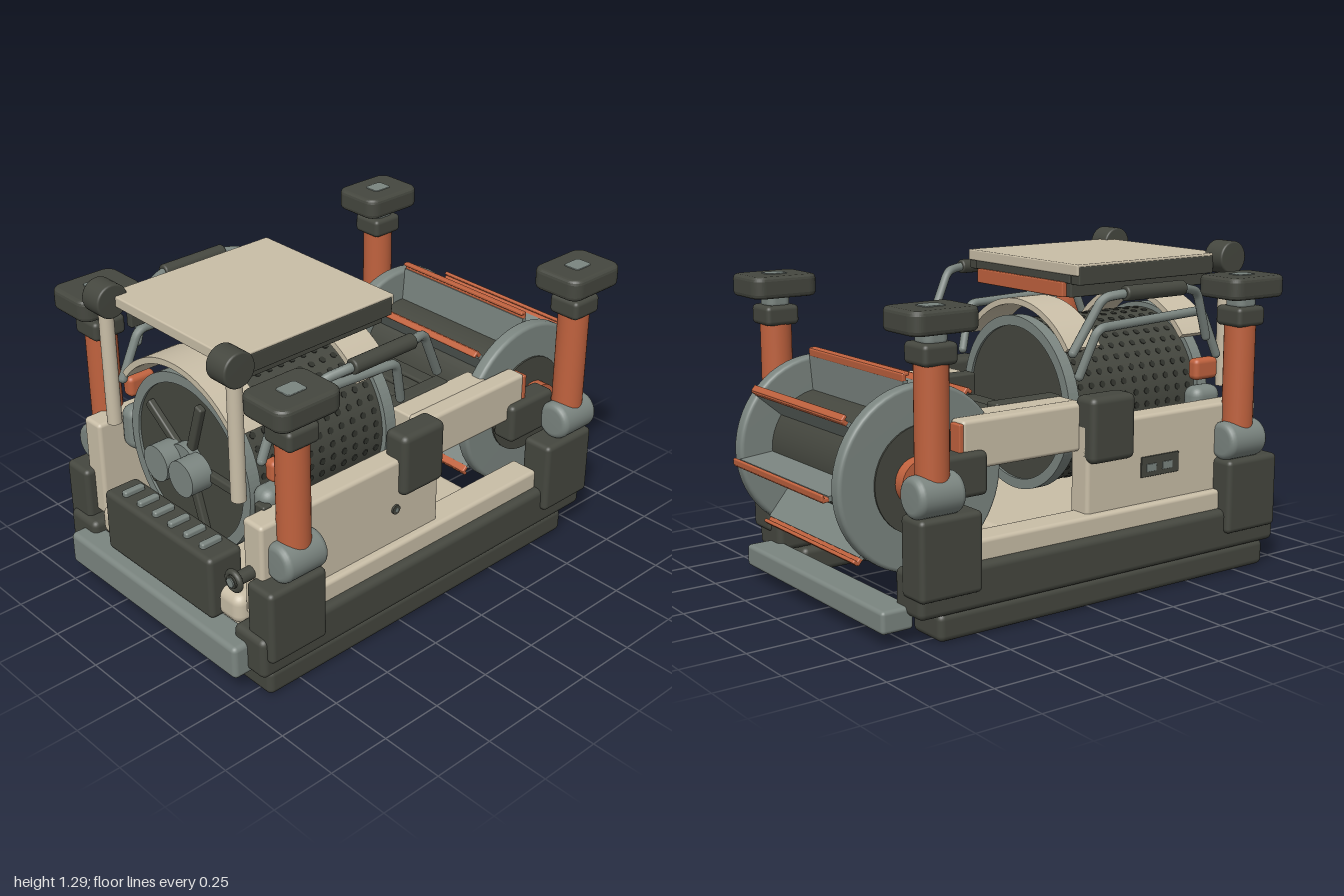
import * as THREE from 'three';
import { mergeGeometries } from 'three/addons/utils/BufferGeometryUtils.js';
import { RoundedBoxGeometry } from 'three/addons/geometries/RoundedBoxGeometry.js';

const mat = (name, color) => Object.assign(new THREE.MeshStandardMaterial({ color }), { name });

export function createModel() {
  const root = new THREE.Group();
  const black = mat('charcoal', 0x45473f), grey = mat('steel grey', 0x7b8580);
  const cream = mat('cream', 0xc9bea7), orange = mat('burnt orange', 0xc0623e);
  const dark = mat('hole black', 0x30322c);

  const add = (name, geo, m, x = 0, y = 0, z = 0) => {
    const mesh = new THREE.Mesh(geo, m);
    mesh.name = name;
    mesh.position.set(x, y, z);
    root.add(mesh);
    return mesh;
  };
  // Rounded box given by its limits on each axis
  const box = (name, m, [x0, x1], [y0, y1], [z0, z1], r = 0.015) => {
    const w = Math.abs(x1 - x0), h = y1 - y0, d = z1 - z0;
    const geo = r ? new RoundedBoxGeometry(w, h, d, 3, Math.min(r, w / 2.1, h / 2.1, d / 2.1))
      : new THREE.BoxGeometry(w, h, d);
    return add(name, geo, m, (x0 + x1) / 2, (y0 + y1) / 2, (z0 + z1) / 2);
  };
  // Cylinder along a chosen axis, with an optional rounded rim
  const cyl = (name, m, axis, r, len, x, y, z, seg = 32, rim = 0) => {
    let g = new THREE.CylinderGeometry(r, r, len, seg);
    if (rim) {
      const h = len / 2, pts = [new THREE.Vector2(0, -h)];
      for (const side of [-1, 1]) for (let i = 0; i <= 4; i++) {
        const a = side * Math.PI / 8 * (side < 0 ? 4 - i : i);
        pts.push(new THREE.Vector2(r - rim + rim * Math.cos(a), side * (h - rim) + rim * Math.sin(a)));
      }
      pts.push(new THREE.Vector2(0, h));
      g = new THREE.LatheGeometry(pts, seg);
    }
    if (axis === 'x') g.rotateZ(Math.PI / 2);
    if (axis === 'z') g.rotateX(Math.PI / 2);
    return add(name, g, m, x, y, z);
  };
  // Upright slab with rounded corners in plan and a small bevel
  const slabGeo = (w, h, d, r, b) => {
    const x = w / 2 - b, y = d / 2 - b, s = new THREE.Shape();
    s.absarc(x - r, y - r, r, 0, Math.PI / 2);
    s.absarc(r - x, y - r, r, Math.PI / 2, Math.PI);
    s.absarc(r - x, r - y, r, Math.PI, Math.PI * 1.5);
    s.absarc(x - r, r - y, r, Math.PI * 1.5, Math.PI * 2);
    return new THREE.ExtrudeGeometry(s, { depth: h - 2 * b, bevelSize: b, bevelThickness: b,
      bevelSegments: 3, curveSegments: 6 }).translate(0, 0, b - h / 2).rotateX(-Math.PI / 2);
  };
  // Flat ring, or part of one, extruded along z and centred on its depth
  const ringGeo = (ro, ri, depth, a0 = 0, a1 = Math.PI * 2) => {
    const s = new THREE.Shape();
    s.absarc(0, 0, ro, a0, a1, false);
    if (a1 - a0 > 6) s.holes.push(new THREE.Path().absarc(0, 0, ri, 0, Math.PI * 2, true));
    else s.absarc(0, 0, ri, a1, a0, true);
    return new THREE.ExtrudeGeometry(s, { depth, bevelEnabled: false, curveSegments: 48 })
      .translate(0, 0, -depth / 2);
  };
  // Tube through straight runs with short rounded bends
  const tube = (name, m, pts, r) => {
    const path = new THREE.CurvePath();
    const v = pts.map(p => new THREE.Vector3(...p));
    const toward = (p, q) => p.clone().add(q.clone().sub(p).setLength(Math.min(0.035, p.distanceTo(q) * 0.4)));
    let from = v[0];
    for (let i = 1; i < v.length - 1; i++) {
      const a = toward(v[i], v[i - 1]), b = toward(v[i], v[i + 1]);
      path.add(new THREE.LineCurve3(from, a));
      path.add(new THREE.QuadraticBezierCurve3(a, v[i], b));
      from = b;
    }
    path.add(new THREE.LineCurve3(from, v[v.length - 1]));
    add(name, new THREE.TubeGeometry(path, 80, r, 10), m);
    for (const p of [v[0], v[v.length - 1]]) add(name + 'End', new THREE.SphereGeometry(r, 10, 8), m, p.x, p.y, p.z);
  };

  // Chassis deck and bumpers
  box('deck', cream, [-0.43, 0.43], [0.12, 0.3], [-0.27, 0.87], 0.03);
  box('frontBumper', grey, [-0.5, 0.5], [0.085, 0.22], [0.88, 1.0], 0.02);
  box('rearBumper', grey, [-0.5, 0.5], [0.05, 0.135], [-0.86, -0.73], 0.015);

  for (const s of [-1, 1]) {
    const X = (a, b) => [s * a, s * b];
    // Skids and side bodywork
    box('lowerSkid', black, X(0.39, 0.57), [0, 0.105], [-0.67, 0.9], 0.025);
    box('upperSkid', black, X(0.42, 0.585), [0.1, 0.265], [-0.76, 0.94], 0.025);
    box('skidTop', cream, X(0.43, 0.55), [0.25, 0.34], [-0.515, 0.7]);
    box('sidePanel', cream, X(0.42, 0.52), [0.28, 0.68], [0.02, 0.88]);
    box('frontFoot', cream, X(0.28, 0.42), [0.22, 0.345], [0.75, 0.91], 0.04);
    box('sideArm', cream, X(0.39, 0.47), [0.57, 0.75], [-0.5, 0.06]);
    box('armShoulder', cream, X(0.3, 0.4), [0.57, 0.748], [-0.36, 0.06], 0.008);
    box('armCap', orange, X(0.41, 0.47), [0.6, 0.74], [-0.515, -0.495], 0.005);
    box('sidePod', black, X(0.44, 0.55), [0.53, 0.78], [0.02, 0.23], 0.025);
    box('drumBearing', grey, X(0.34, 0.435), [0.55, 0.73], [0.64, 0.78], 0.04);
    box('latch', orange, X(0.385, 0.44), [0.76, 0.845], [0.63, 0.75], 0.02);

    // Corner jacks
    for (const z of [0.755, -0.68]) {
      const zb = z > 0 ? 0.79 : -0.64;
      box('jackBase', black, X(0.477, 0.61), [0.17, 0.465], [zb - 0.13, zb + 0.13], 0.02);
      cyl('jackPivot', grey, 'z', 0.076, 0.19, s * 0.55, 0.535, z, 32, 0.025);
      cyl('jackColumn', orange, 'y', 0.061, 0.46, s * 0.5445, 0.77, z);
      box('jackCollar', black, X(0.477, 0.612), [0.985, 1.062], [z - 0.07, z + 0.07], 0.018);
      box('jackNeck', grey, X(0.497, 0.593), [1.04, 1.12], [z - 0.048, z + 0.048], 0.03);
      add('jackPad', slabGeo(0.221, 0.085, 0.276, 0.03, 0.017), black, s * 0.5455, 1.139, z);
      add('padSpot', slabGeo(0.07, 0.008, 0.085, 0.012, 0.002), grey, s * 0.5455, 1.181, z);
    }

    // Roof post, roller and rails
    cyl('roofPost', cream, 'y', 0.028, 0.47, s * 0.363, 0.945, 0.845);
    cyl('roofRoller', black, 'x', 0.066, 0.1, s * 0.353, 1.225, 0.85, 32, 0.008);
    box('roofRail', black, X(0.272, 0.302), [1.115, 1.2], [0.11, 0.8], 0.005);
    box('roofEdge', black, X(0.3, 0.352), [1.165, 1.235], [0.11, 0.79], 0.005);

    // Grab rails
    tube('outerGrabRail', grey, [[s * 0.465, 0.94, 0.65], [s * 0.49, 1.125, 0.575], [s * 0.525, 1.15, 0.47],
      [s * 0.525, 1.15, 0.18], [s * 0.5, 1.14, 0.1], [s * 0.465, 0.94, -0.01]], 0.018);
    cyl('grabGrip', black, 'z', 0.029, 0.29, s * 0.525, 1.15, 0.325, 16, 0.008);
    tube('innerGrabRail', grey, [[s * 0.38, 0.83, 0.09], [s * 0.415, 1.01, 0.15],
      [s * 0.395, 1.03, 0.69], [s * 0.4, 0.85, 0.77]], 0.018);

    // Rear reel flange, hub and drive
    cyl('reelFlange', grey, 'x', 0.34, 0.058, s * 0.358, 0.545, -0.615, 56, 0.015);
    cyl('reelDisc', black, 'x', 0.2, 0.012, s * 0.388, 0.545, -0.615, 40);
    cyl('reelHub', orange, 'x', 0.088, 0.06, s * 0.41, 0.545, -0.645);
    box('reelDrive', black, X(0.4, 0.5), [0.48, 0.64], [-0.65, -0.41], 0.02);
  }

  // Roof
  box('roof', cream, [-0.35, 0.35], [1.2, 1.243], [0.1, 0.84], 0.006);
  box('roofFrontBeam', grey, [-0.29, 0.29], [1.168, 1.2], [0.74, 0.78], 0.005);
  box('roofBackBeam', orange, [-0.275, 0.275], [1.115, 1.172], [0.09, 0.13], 0.005);
  box('roofBackRail', black, [-0.3, 0.3], [1.168, 1.205], [0.103, 0.135], 0.004);
  box('roofLining', black, [-0.29, 0.29], [1.185, 1.2], [0.13, 0.76], 0);

  // Perforated drum with rims, spokes and hub
  const dy = 0.67;
  cyl('drumBody', black, 'z', 0.325, 0.64, 0, dy, 0.43, 64);
  for (const z of [0.1, 0.755]) {
    add('drumRim', ringGeo(0.345, 0.305, 0.05), grey, 0, dy, z);
    cyl('drumEnd', black, 'z', 0.306, 0.03, 0, dy, z, 56);
  }
  const holes = [];
  for (let i = 0; i < 11; i++) for (let k = 0; k < 40; k++)
    holes.push(new THREE.CylinderGeometry(0.013, 0.013, 0.005, 8)
      .translate(0, 0.325, 0.155 + i * 0.054).rotateZ(k * Math.PI / 20));
  add('drumHoles', mergeGeometries(holes), dark, 0, dy, 0);
  for (let k = 0; k < 5; k++) {
    const spoke = new RoundedBoxGeometry(0.22, 0.036, 0.03, 2, 0.008)
      .translate(0.165, 0, 0).rotateZ(k * Math.PI * 0.4);
    add('drumSpoke', spoke, black, 0, dy, 0.78);
  }
  cyl('drumHub', grey, 'z', 0.08, 0.05, 0, dy, 0.785);
  for (const x of [-0.073, 0.073]) cyl('hubKnob', grey, 'z', 0.07, 0.09, x, dy, 0.83);
  for (const z of [0.16, 0.74])
    add('drumHood', ringGeo(0.412, 0.388, 0.16, 0.67, Math.PI - 0.67), cream, 0, dy, z);
  box('bearingClamp', black, [0.388, 0.44], [0.6, 0.69], [0.76, 0.8], 0.008);

  // Front hopper with teeth
  box('frontHopper', black, [-0.317, 0.317], [0.22, 0.475], [0.8, 0.95], 0.02);
  for (let i = 0; i < 6; i++) {
    const x = -0.23 + i * 0.092;
    box('hopperTooth', grey, [x - 0.014, x + 0.014], [0.46, 0.495], [0.83, 0.92], 0.008);
  }

  // Front valve, side bolt and side vent
  cyl('valveStem', black, 'z', 0.025, 0.12, 0.46, 0.475, 0.91, 20);
  add('valveRing', new THREE.TorusGeometry(0.033, 0.012, 10, 28), black, 0.46, 0.475, 0.955);
  cyl('valveCap', grey, 'z', 0.018, 0.02, 0.46, 0.475, 0.965, 20);
  cyl('sideBolt', black, 'x', 0.019, 0.012, 0.522, 0.48, 0.245, 16);
  cyl('boltCentre', grey, 'x', 0.008, 0.016, 0.522, 0.48, 0.245, 12);
  box('sideVent', black, [-0.525, -0.515], [0.44, 0.52], [0.28, 0.47], 0.003);
  for (const z of [0.33, 0.41])
    box('ventPlate', grey, [-0.528, -0.52], [0.46, 0.49], [z - 0.025, z + 0.025], 0.002);

  // Conveyor between drum and reel
  box('conveyorBed', black, [-0.27, 0.27], [0.58, 0.65], [-0.36, 0.06], 0.01);
  for (const s of [-1, 1]) {
    box('conveyorWall', black, [s * 0.245, s * 0.312], [0.57, 0.755], [-0.24, 0.06], 0.01);
    box('conveyorTail', black, [s * 0.24, s * 0.302], [0.57, 0.7], [-0.37, -0.23], 0.01);
  }
  for (let i = 0; i < 5; i++) {
    const z = -0.3 + i * 0.078;
    box('conveyorSlat', black, [-0.235, 0.235], [0.64, 0.672], [z - 0.034, z + 0.034], 0.01);
  }

  // Rear reel: core, vanes and hooked edges
  const reel = new THREE.Group();
  reel.name = 'rearReel';
  reel.position.set(0, 0.545, -0.615);
  root.add(reel);
  reel.add(cyl('reelCore', black, 'x', 0.21, 0.67, 0, 0, 0, 40));
  for (let k = 0; k < 8; k++) {
    const arm = new THREE.Group();
    arm.name = 'reelVane';
    arm.rotation.x = -THREE.MathUtils.degToRad(5 + k * 45);
    arm.add(
      box('vanePlate', grey, [-0.33, 0.33], [0.18, 0.346], [-0.01, 0.01], 0),
      box('vaneEdge', orange, [-0.33, 0.33], [0.342, 0.372], [-0.011, 0.006], 0.005),
      box('vaneLip', orange, [-0.33, 0.33], [0.361, 0.375], [-0.006, 0.02], 0.005));
    reel.add(arm);
  }
  return root;
}
